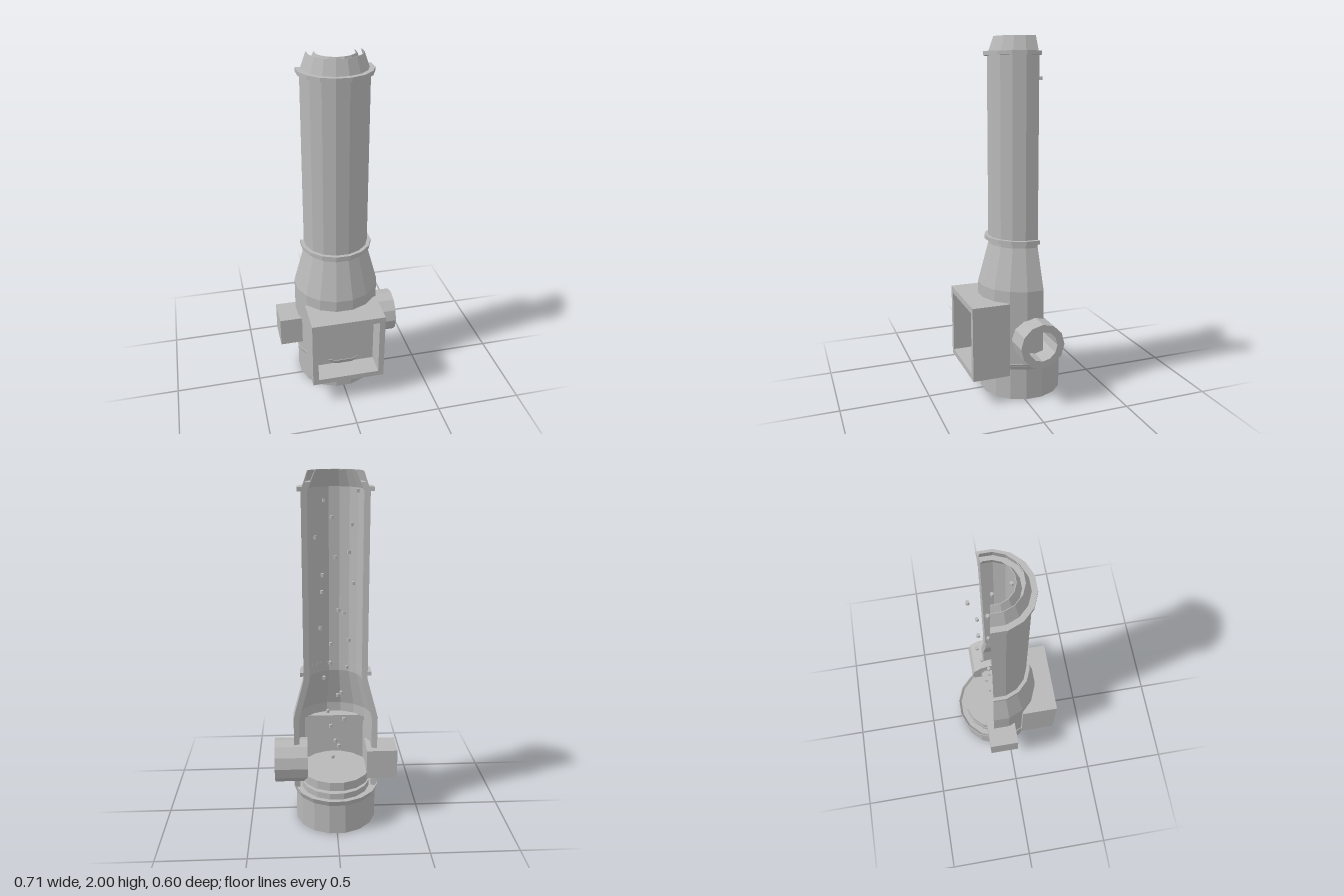
import * as THREE from 'three';

const SIDES = 16;
const STEP = (Math.PI * 2) / SIDES;
const CUT = STEP * 4.5;      // the wall is cut away behind this angle
const AXIS_Z = -0.055;       // centre line of the tower

export function createModel() {
  const model = new THREE.Group();
  model.name = 'cutawayTower';
  const metal = new THREE.MeshStandardMaterial({ color: 0xb8b8b8, flatShading: true, side: THREE.DoubleSide });
  metal.name = 'grey metal';

  const add = (name, geometry, parent = model) => {
    const mesh = new THREE.Mesh(geometry, metal);
    mesh.name = name;
    parent.add(mesh);
    return mesh;
  };

  const tower = new THREE.Group();
  tower.name = 'tower';
  tower.position.z = AXIS_Z;
  model.add(tower);

  // Solid wall swept round the axis from angle a to b, closed at both cut ends
  const sector = (name, profile, a, b) => {
    const points = profile.map(([r, y]) => new THREE.Vector2(r, y));
    const group = new THREE.Group();
    group.name = name;
    tower.add(group);
    add(name + 'Wall', new THREE.LatheGeometry([...points, points[0]], Math.round((b - a) / STEP), a, b - a), group);
    for (const end of [a, b]) {
      const cap = new THREE.ShapeGeometry(new THREE.Shape(points));
      cap.rotateY(end - Math.PI / 2);
      add(name + 'CutFace', cap, group);
    }
  };

  // Full turned part
  const turned = (name, profile) =>
    add(name, new THREE.LatheGeometry(profile.map(([r, y]) => new THREE.Vector2(r, y)), SIDES, STEP / 2), tower);

  // Base with flared rim, and the two floor discs above it
  turned('base', [[0, 0], [0.235, 0], [0.235, 0.18], [0.25, 0.215], [0.246, 0.215], [0.233, 0.2], [0, 0.2]]);
  turned('lowerDisc', [[0, 0.2], [0.2, 0.2], [0.2, 0.237], [0, 0.237]]);
  turned('discPost', [[0.06, 0.23], [0.06, 0.26]]);
  turned('upperDisc', [[0, 0.255], [0.2, 0.255], [0.2, 0.307], [0, 0.307]]);

  // Chimney wall with tapered shoulder
  sector('chimney', [
    [0.245, 0.57], [0.245, 0.64], [0.183, 0.87], [0.183, 1.91],
    [0.15, 1.91], [0.15, 0.86], [0.212, 0.63], [0.212, 0.57],
  ], -CUT, CUT);

  // Lower wall on each side of the front duct
  const lower = [[0.212, 0.2], [0.245, 0.2], [0.245, 0.57], [0.212, 0.57]];
  sector('lowerWallLeft', lower, CUT - 2 * STEP, CUT);
  sector('lowerWallRight', lower, -CUT, -CUT + 2 * STEP);

  // Double cone at the mouth, with a groove between its two lips
  sector('mouth', [
    [0.15, 1.91], [0.18, 1.91], [0.148, 2], [0.145, 2], [0.16, 1.945],
    [0.133, 1.945], [0.109, 2], [0.106, 2], [0.145, 1.91],
  ], -CUT, CUT);

  // Joint bands
  for (const y of [0.892, 1.9]) {
    sector('band', [[0.149, y], [0.204, y], [0.204, y + 0.022], [0.149, y + 0.022]], -CUT, CUT);
  }

  // Square front duct: open frame with a recessed back plate
  const rect = (path, x, y0, y1) =>
    path.moveTo(-x, y0).lineTo(x, y0).lineTo(x, y1).lineTo(-x, y1).closePath();
  const frame = rect(new THREE.Shape(), 0.213, 0.15, 0.573);
  frame.holes.push(rect(new THREE.Path(), 0.18, 0.183, 0.538));
  const duct = add('frontDuct', new THREE.ExtrudeGeometry(frame, { depth: 0.213, bevelEnabled: false }));
  duct.position.z = 0.085;
  const plate = add('ductBackPlate', new THREE.BoxGeometry(0.37, 0.36, 0.008));
  plate.position.set(0, 0.36, 0.166);

  // Side box
  const box = add('sideBox', new THREE.BoxGeometry(0.177, 0.175, 0.174));
  box.position.set(-0.2665, 0.357, AXIS_Z);

  // Round side pipe with a bore
  const pipeProfile = [[0.085, 0.163], [0.127, 0.163], [0.127, 0.353], [0.085, 0.353], [0.085, 0.163]];
  const pipe = add('sidePipe', new THREE.LatheGeometry(pipeProfile.map(([r, y]) => new THREE.Vector2(r, y)), 12));
  pipe.rotation.z = -Math.PI / 2;
  pipe.position.set(0, 0.36, AXIS_Z);

  // Small hexagonal pellets rising in a widening spiral
  const pellets = new THREE.Group();
  pellets.name = 'pellets';
  tower.add(pellets);
  const pelletShape = new THREE.CylinderGeometry(0.01, 0.01, 0.018, 6);
  pelletShape.rotateY(Math.PI / 6);
  for (let i = 0; i < 26; i++) {
    const angle = i * Math.PI * (3 - Math.sqrt(5));
    const r = 0.0231 * Math.sqrt(i + 0.5);
    const pellet = add('pellet', pelletShape, pellets);
    pellet.position.set(r * Math.cos(angle), 0.37 + 0.0613 * i, r * Math.sin(angle));
  }

  return model;
}
